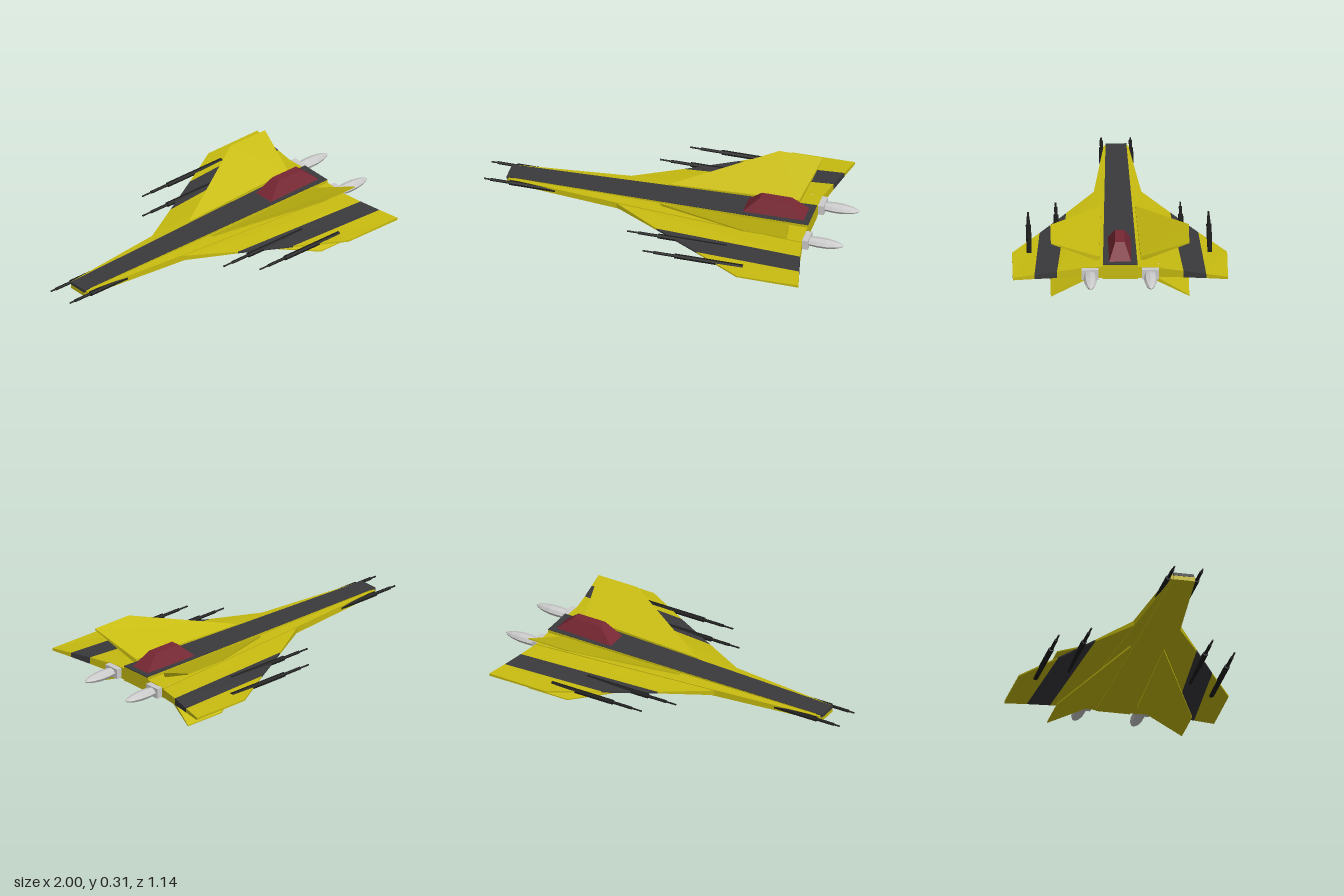
import * as THREE from 'three';

const MID = 0.158; // height of the wing plane
const mat = (color) => new THREE.MeshStandardMaterial({ color, flatShading: true });
const yellow = mat(0xc8bc10), dark = mat(0x3a3a3d), black = mat(0x1c1c1c);
const red = mat(0x782834), grey = mat(0xcccccc);

// Convex plate: outline points [x, z, half thickness] or [x, z, low, high] about MID
function slab(points) {
  let pts = points.map(([x, z, a, b]) => (b === undefined ? [x, z, -a, a] : [x, z, a, b]));
  const n = pts.length;
  let area = 0;
  pts.forEach((p, i) => {
    const q = pts[(i + 1) % n];
    area += p[0] * q[1] - q[0] * p[1];
  });
  if (area > 0) pts = pts.reverse();
  const pos = [], index = [];
  for (const [x, z, lo, hi] of pts) pos.push(x, MID + lo, z, x, MID + hi, z);
  for (let i = 0; i < n; i++) {
    const j = (i + 1) % n;
    index.push(2 * i, 2 * j, 2 * j + 1, 2 * i, 2 * j + 1, 2 * i + 1);
    if (i > 0 && i < n - 1) index.push(1, 2 * i + 1, 2 * i + 3, 0, 2 * i + 2, 2 * i);
  }
  const g = new THREE.BufferGeometry();
  g.setAttribute('position', new THREE.Float32BufferAttribute(pos, 3));
  g.setIndex(index);
  const flat = g.toNonIndexed();
  flat.computeVertexNormals();
  return flat;
}

export function createModel() {
  const model = new THREE.Group();
  model.name = 'starfighter';
  const add = (name, geometry, material, parent = model) => {
    const m = new THREE.Mesh(geometry, material);
    m.name = name;
    parent.add(m);
    return m;
  };
  const plate = (name, points, material, side = 1) =>
    add(name, slab(points.map(([x, z, ...h]) => [x, z * side, ...h])), material);

  // Three-step cannon pointing to -x, from its muzzle at x
  function cannon(name, x, z, lengths) {
    const g = new THREE.Group();
    g.name = name;
    const radii = [0.005, 0.009, 0.015];
    let at = 0;
    lengths.forEach((len, i) => {
      const geo = new THREE.CylinderGeometry(radii[i], radii[i], len, 8);
      geo.rotateY(Math.PI / 8).rotateZ(Math.PI / 2).scale(1, 0.87, 1);
      geo.translate(at + len / 2, 0, 0);
      add('barrelStep', geo, black, g);
      at += len;
    });
    g.position.set(x, MID, z);
    model.add(g);
  }

  // Central spine with the dark deck on top
  plate('spine', [
    [-0.88, -0.055, -0.018, 0.018], [-0.88, 0.055, -0.018, 0.018],
    [0.78, 0.094, -0.038, 0.047], [0.78, -0.094, -0.038, 0.047],
  ], yellow);
  plate('deckStripe', [
    [-0.882, -0.055, 0.005, 0.021], [-0.882, 0.055, 0.005, 0.021],
    [0.782, 0.092, 0.045, 0.0495], [0.782, -0.092, 0.045, 0.0495],
  ], dark);

  // Canopy: a box narrowed toward its top
  const canopy = new THREE.BoxGeometry(0.34, 0.08, 0.12);
  const p = canopy.attributes.position;
  for (let i = 0; i < p.count; i++) {
    if (p.getY(i) > 0) p.setXYZ(i, p.getX(i) * 0.48 - 0.005, p.getY(i), p.getZ(i) * 0.42);
  }
  canopy.computeVertexNormals();
  add('canopy', canopy, red).position.set(0.585, 0.242, 0);

  // Engine bullet profile (radius, length)
  const bullet = [[0, 0], [0.03, 0], [0.035, 0.05], [0.034, 0.1], [0.025, 0.15], [0.013, 0.18], [0, 0.195]]
    .map(([r, y]) => new THREE.Vector2(r, y));

  for (const s of [1, -1]) {
    // Hull half and wing panels
    plate('hull', [
      [-0.88, 0, 0.017], [-0.87, 0.065, 0.014], [-0.26, 0.125, 0.018],
      [0.78, 0.22, 0.028], [0.78, 0, 0.036],
    ], yellow, s);
    plate('innerWing', [
      [-0.26, 0.125, 0.014], [0, 0.275, 0.005], [0.805, 0.335, 0.019], [0.78, 0.2, 0.025],
    ], yellow, s);
    plate('wingStripe', [
      [0, 0.275, 0.005], [0.26, 0.42, 0.004], [0.833, 0.455, 0.012], [0.805, 0.335, 0.019],
    ], dark, s);
    plate('outerWing', [
      [0.26, 0.42, 0.004], [0.52, 0.57, 0.004], [0.86, 0.57, 0.007], [0.833, 0.455, 0.012],
    ], yellow, s);

    // Upper and lower slanted fins
    for (const v of [1, -1]) {
      const fin = [[-0.03, 0.09, 0.006], [0.5, 0.367, 0.003], [0.74, 0.367, 0.003], [0.68, 0.11, 0.014]]
        .map(([x, z, h]) => {
          const m = v * (0.025 + (z - 0.09) * 0.46);
          return [x, z, m - h, m + h];
        });
      plate(v > 0 ? 'upperFin' : 'lowerFin', fin, yellow, s);
    }

    // Engine with mount
    const mount = new THREE.BoxGeometry(0.09, 0.056, 0.09);
    add('engineMount', mount, grey).position.set(0.767, MID, s * 0.16);
    const cone = new THREE.LatheGeometry(bullet, 8).rotateZ(-Math.PI / 2).scale(1, 0.72, 1);
    add('engine', cone, grey).position.set(0.805, MID, s * 0.16);

    // Cannons on wings and nose
    cannon('outerCannon', -0.02, s * 0.478, [0.06, 0.115, 0.375]);
    cannon('innerCannon', -0.145, s * 0.33, [0.06, 0.11, 0.375]);
    cannon('noseCannon', -1, s * 0.077, [0.035, 0.105, 0.3]);
  }
  return model;
}
